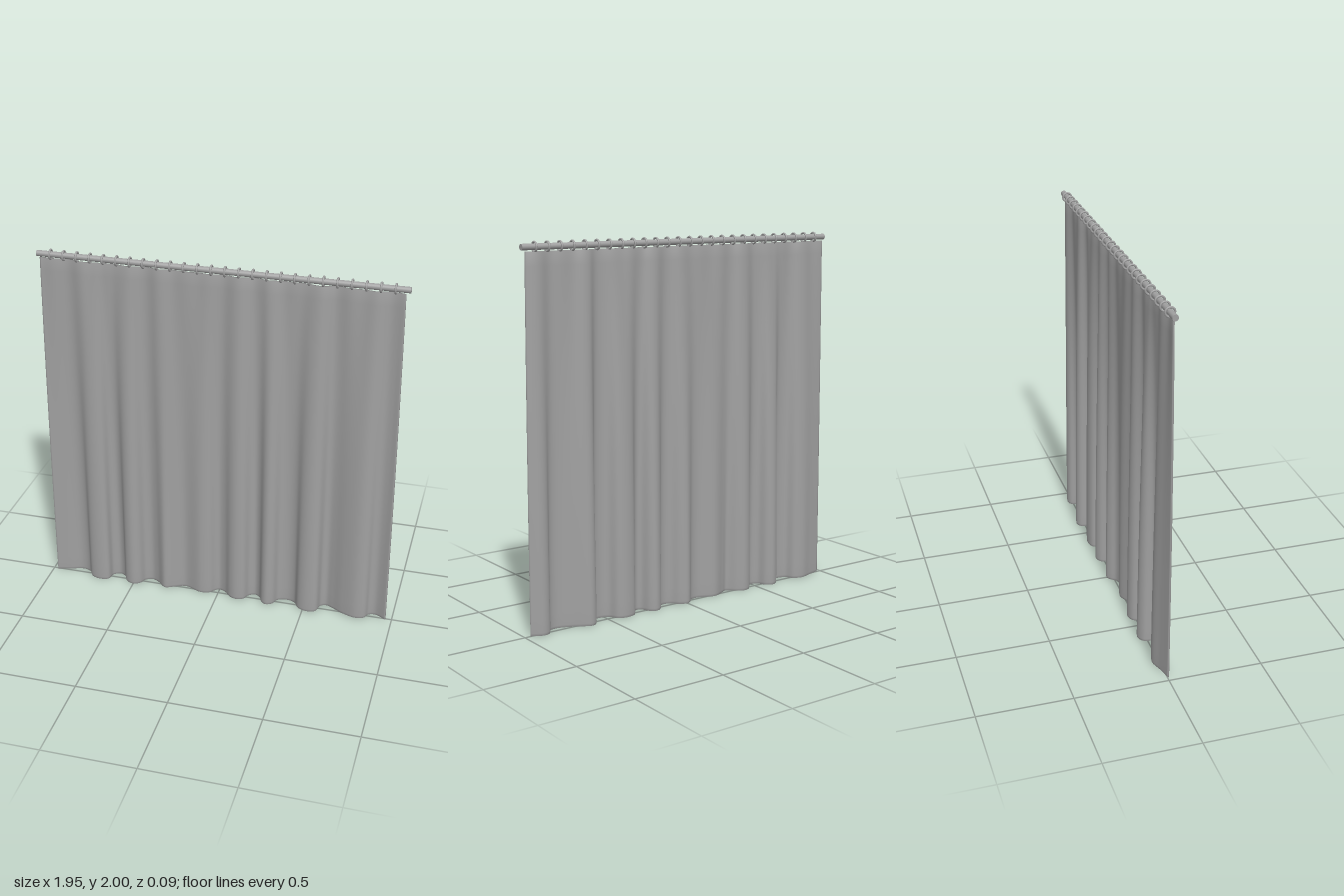
import * as THREE from 'three';

const grey = new THREE.MeshStandardMaterial({ color: 0xa0a0a0, side: THREE.DoubleSide });
const ROD_Y = 1.972, TOP = 1.95, THICK = 0.004;

// Plan of the folds at the hem, as [x, z]
const folds = [
  [-0.975, 0.005], [-0.9, -0.014], [-0.83, -0.034], [-0.78, -0.018], [-0.75, 0.025], [-0.7, 0.04],
  [-0.655, 0.028], [-0.64, -0.02], [-0.6, -0.041], [-0.565, -0.022], [-0.54, 0.022], [-0.5, 0.038],
  [-0.465, 0.022], [-0.44, -0.02], [-0.4, -0.034], [-0.36, -0.016], [-0.31, 0.026], [-0.27, 0.01],
  [-0.2, -0.017], [-0.1, 0.018], [-0.05, 0.008], [-0.025, -0.02], [0, -0.035], [0.04, -0.018],
  [0.075, 0.018], [0.11, 0.031], [0.15, 0.02], [0.175, -0.022], [0.21, -0.038], [0.24, -0.02],
  [0.265, 0.025], [0.29, 0.037], [0.32, 0.022], [0.345, -0.022], [0.4, -0.036], [0.445, -0.02],
  [0.475, 0.025], [0.52, 0.042], [0.57, 0.03], [0.59, -0.026], [0.62, -0.042], [0.66, -0.026],
  [0.72, 0.008], [0.8, 0.033], [0.845, 0.02], [0.865, -0.015], [0.9, -0.026], [0.965, 0.005],
].map(([x, z]) => new THREE.Vector3(x, 0, z));

// Closed cloth: a thin loop in plan (front face, then back face) lofted from hem to heading
function clothGeometry() {
  const N = 320, ROWS = 28, LOOP = 2 * (N + 1), SOFT = 6;
  const path = new THREE.CatmullRomCurve3(folds, false, 'centripetal').getSpacedPoints(N);
  // Softer folds for the heading: a running average of the hem plan
  const soft = path.map((p, i) => {
    const w = Math.min(SOFT, i, N - i), sum = new THREE.Vector3();
    for (let k = -w; k <= w; k++) sum.add(path[i + k]);
    return sum.divideScalar(2 * w + 1);
  });
  const positions = [], index = [];
  for (let r = 0; r <= ROWS; r++) {
    // The lowest row is a narrow rounded hem
    const y = r === 0 ? 0 : THREE.MathUtils.lerp(0.014, TOP, (r - 1) / (ROWS - 1));
    const t = y / TOP, half = r === 0 ? THICK * 0.4 : THICK;
    const swell = 0.22 + 0.78 * (1 - t * t);
    const gather = 0.004 * Math.pow(t, 3);
    const line = path.map((p, i) => {
      const q = p.clone().lerp(soft[i], Math.min(1, t * 1.4));
      return new THREE.Vector2(
        q.x * (1 - 0.014 * t * t),
        q.z * swell + gather * Math.cos((q.x + 0.036) * Math.PI * 2 / 0.144));
    });
    const offset = (i, side) => {
      const a = line[Math.max(i - 1, 0)], b = line[Math.min(i + 1, N)];
      const d = b.clone().sub(a).normalize();
      positions.push(line[i].x - d.y * half * side, y, line[i].y + d.x * half * side);
    };
    for (let i = 0; i <= N; i++) offset(i, 1);
    for (let i = N; i >= 0; i--) offset(i, -1);
  }
  for (let r = 0; r < ROWS; r++) {
    for (let i = 0; i < LOOP; i++) {
      const j = (i + 1) % LOOP, a = r * LOOP + i, b = r * LOOP + j;
      index.push(a, b, b + LOOP, a, b + LOOP, a + LOOP);
    }
  }
  // Hem and heading strips join front to back
  const top = ROWS * LOOP;
  for (let i = 0; i < N; i++) {
    const f = i, f2 = i + 1, k = LOOP - 1 - i, k2 = k - 1;
    index.push(f, k, k2, f, k2, f2);
    index.push(top + f, top + f2, top + k2, top + f, top + k2, top + k);
  }
  const g = new THREE.BufferGeometry();
  g.setAttribute('position', new THREE.Float32BufferAttribute(positions, 3));
  g.setIndex(index);
  g.computeVertexNormals();
  return g;
}

export function createModel() {
  const group = new THREE.Group();
  const add = (name, geometry, x = 0, y = 0) => {
    const mesh = new THREE.Mesh(geometry, grey);
    mesh.name = name;
    mesh.position.set(x, y, 0);
    group.add(mesh);
  };

  add('curtain', clothGeometry());

  // Rod along x
  add('rod', new THREE.CylinderGeometry(0.016, 0.016, 1.95, 24).rotateZ(Math.PI / 2), 0, ROD_Y);

  // Rings, evenly spaced along the rod
  const ring = new THREE.TorusGeometry(0.0235, 0.0055, 10, 28).rotateY(Math.PI / 2);
  const RINGS = 26;
  for (let i = 0; i < RINGS; i++) add('ring', ring, -0.9 + 1.8 * i / (RINGS - 1), ROD_Y);

  return group;
}
